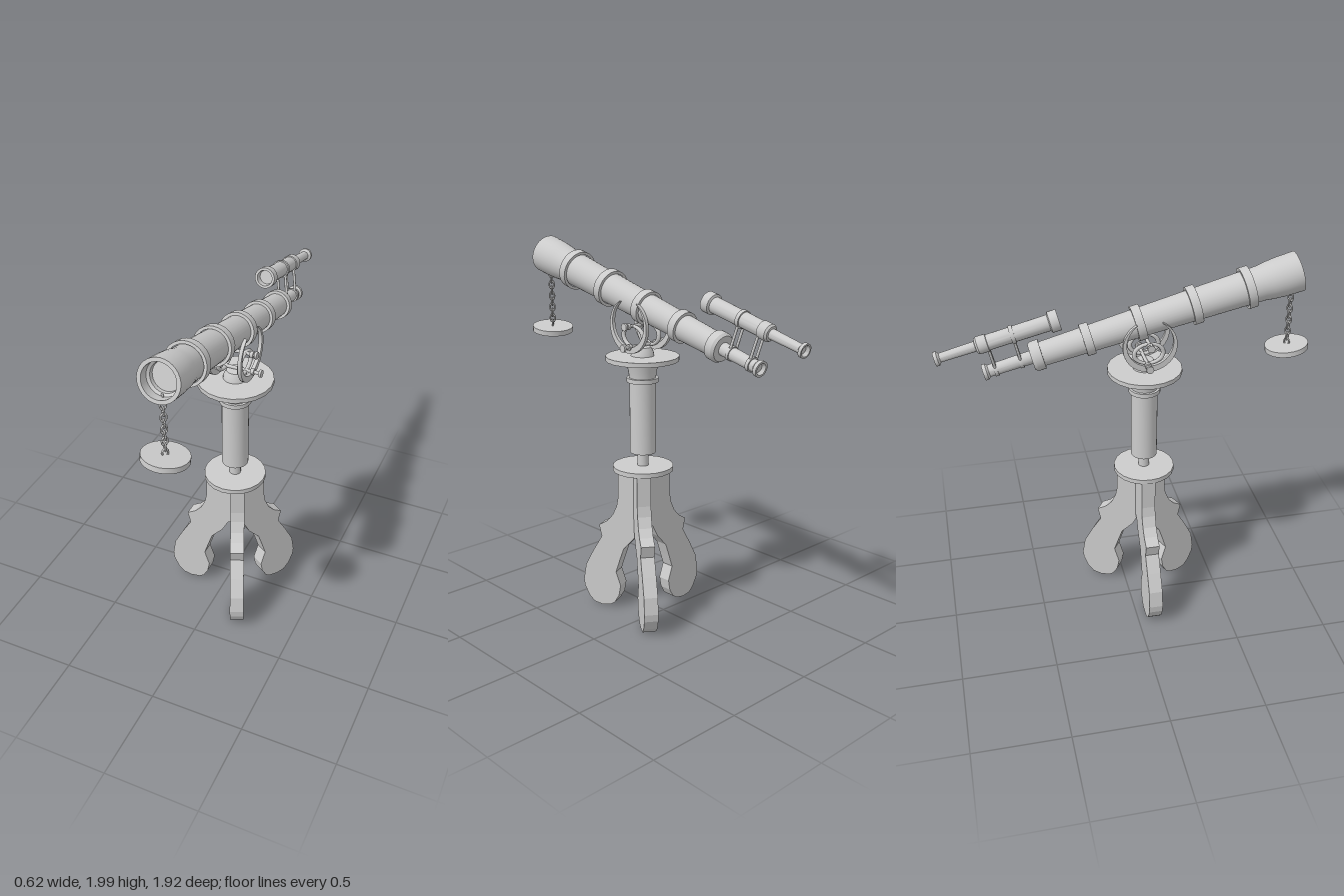
import * as THREE from 'three';
import { toCreasedNormals } from 'three/addons/utils/BufferGeometryUtils.js';

const CX = 0.062, CZ = 0.092, TILT = 0.243;
const deg = Math.PI / 180;

export function createModel() {
  const model = new THREE.Group();
  const mat = new THREE.MeshStandardMaterial({ color: 0xcccccc });

  const add = (name, geo, parent = model) => {
    const mesh = new THREE.Mesh(geo, mat);
    mesh.name = name;
    parent.add(mesh);
    return mesh;
  };
  // Turned part from [radius, height] pairs, with crisp edges
  const turned = (name, pts, parent = model, sides = 28) => add(name,
    toCreasedNormals(new THREE.LatheGeometry(pts.map(p => new THREE.Vector2(...p)), sides), 0.5), parent);
  // Straight round bar between two points
  const bar = (name, a, b, r, parent = model) => {
    const d = b.clone().sub(a);
    const m = add(name, new THREE.CylinderGeometry(r, r, d.length(), 10), parent);
    m.position.copy(a).add(b).multiplyScalar(0.5);
    m.quaternion.setFromUnitVectors(new THREE.Vector3(0, 1, 0), d.normalize());
    return m;
  };
  // Raised band on a tube
  const band = (s, r, w) => [[r - 0.015, s - w / 2], [r, s - w / 2], [r, s + w / 2], [r - 0.015, s + w / 2]];

  // Three flat sawn legs
  const legShape = new THREE.Shape([
    [0, 0.82], [0, 0.51], [0.03, 0.495], [0.063, 0.43], [0.126, 0.36], [0.15, 0.29], [0.174, 0.215],
    [0.147, 0.135], [0.158, 0.075], [0.184, 0.03], [0.21, 0.012], [0.263, 0.003], [0.31, 0.012],
    [0.343, 0.045], [0.37, 0.1], [0.375, 0.14], [0.36, 0.23], [0.311, 0.325], [0.258, 0.415],
    [0.274, 0.48], [0.225, 0.51], [0.19, 0.55], [0.165, 0.605], [0.155, 0.66], [0.153, 0.82],
  ].map(p => new THREE.Vector2(...p)));
  const legGeo = new THREE.ExtrudeGeometry(legShape, { depth: 0.074, bevelEnabled: false });
  legGeo.translate(0, 0, -0.037);
  for (const [name, angle, x, z] of [
    ['rightLeg', 180, 0.062, 0.085], ['backLeg', 57, 0.076, 0.107], ['frontLeg', -67, 0.064, 0.06],
  ]) {
    const leg = add(name, legGeo);
    leg.position.set(x, 0, z);
    leg.rotation.y = angle * deg;
  }

  // Pillar: base plate, spindle, column, collar, flare and table
  const pillar = new THREE.Group();
  pillar.name = 'pillar';
  pillar.position.set(CX, 0, CZ);
  model.add(pillar);
  turned('basePlate', [[0, 0.82], [0.162, 0.82], [0.162, 0.845], [0, 0.845]], pillar, 20);
  turned('spindle', [[0.03, 0.84], [0.03, 0.93]], pillar, 16);
  turned('column', [[0, 0.918], [0.069, 0.918], [0.069, 1.302], [0.083, 1.302], [0.083, 1.325],
    [0.07, 1.325], [0.075, 1.36], [0.09, 1.42]], pillar);
  turned('table', [[0, 1.416], [0.193, 1.416], [0.193, 1.44], [0, 1.44]], pillar, 20);
  turned('mountFoot', [[0.062, 1.438], [0.058, 1.46], [0.045, 1.485], [0, 1.49]], pillar, 20);

  // Mount: tapered crescents and rings on both sides, joined by two pins
  const mount = new THREE.Group();
  mount.name = 'mount';
  mount.position.set(CX, 1.6, 0.1);
  model.add(mount);
  const outer = [], inner = [];
  for (let i = 0; i <= 32; i++) {
    const t = i / 32, a = (118 + 304 * t) * deg, w = 0.004 + 0.028 * Math.sin(Math.PI * t);
    outer.push(new THREE.Vector2(Math.cos(a), Math.sin(a)).multiplyScalar(0.139));
    inner.unshift(new THREE.Vector2(Math.cos(a), Math.sin(a)).multiplyScalar(0.139 - w));
  }
  const crescentGeo = toCreasedNormals(new THREE.ExtrudeGeometry(
    new THREE.Shape([...outer, ...inner]), { depth: 0.018, bevelEnabled: false }), 0.5);
  crescentGeo.translate(0, 0, -0.009).rotateY(Math.PI / 2);
  const ringGeo = new THREE.TorusGeometry(0.068, 0.011, 8, 28);
  ringGeo.scale(1.1, 0.8, 1).rotateY(Math.PI / 2);
  for (const side of [-1, 1]) {
    add('crescent', crescentGeo, mount).position.x = side * 0.083;
    add('mountRing', ringGeo, mount).position.set(side * 0.055, -0.055, 0);
  }
  for (const [y, z, half] of [[0, 0, 0.12], [-0.105, -0.01, 0.14]]) {
    const end = x => new THREE.Vector3(x, y, z);
    bar('pin', end(-half), end(half), 0.009, mount);
    for (const s of [-1, 1]) {
      bar('pinHead', end(s * (half - 0.012)), end(s * half), 0.02, mount);
      bar('pinCollar', end(s * 0.083), end(s * 0.1), 0.017, mount);
    }
  }

  // Instruments: local +y runs from the objective back to the eyepiece
  const instrument = (name, x, y, z) => {
    const g = new THREE.Group();
    g.name = name;
    g.position.set(x, y, z);
    g.rotation.x = -(Math.PI / 2 + TILT);
    model.add(g);
    g.updateMatrix();
    return g;
  };
  const scope = instrument('telescope', CX, 1.897, 0.876);
  turned('mainTube', [[0, 0.08], [0.07, 0.08], [0.072, 0.06], [0.084, 0.05], [0.084, 0], [0.103, 0],
    [0.101, 0.09], [0.096, 0.155], [0.089, 0.2], [0.061, 1.37], [0, 1.38]], scope, 32);
  for (const [s, r] of [[0.27, 0.106], [0.553, 0.098], [0.842, 0.09], [1.109, 0.082]])
    turned('tubeBand', band(s, r, 0.044), scope, 32);
  turned('endBand', [[0.055, 1.345], [0.076, 1.345], [0.076, 1.385], [0.066, 1.4], [0, 1.4]], scope, 32);
  turned('eyepiece', [[0.034, 1.39], [0.031, 1.62], [0.041, 1.63], [0.041, 1.648], [0.03, 1.648],
    [0.022, 1.63], [0, 1.63]], scope, 20);

  const finder = instrument('finderScope', 0.03, 1.767, -0.344);
  turned('finderTube', [[0, 0.03], [0.036, 0.03], [0.04, 0], [0.053, 0], [0.053, 0.045], [0.041, 0.05],
    [0.039, 0.36], [0.044, 0.362], [0.044, 0.41], [0.036, 0.42], [0.026, 0.422], [0.023, 0.6],
    [0.036, 0.61], [0.036, 0.627], [0.028, 0.627], [0.02, 0.61], [0, 0.61]], finder, 24);
  turned('finderBand', band(0.235, 0.046, 0.02), finder, 24);

  // Posts carrying the finder on the eyepiece tube
  for (const [sf, sm] of [[0.235, 1.455], [0.365, 1.585]]) {
    const top = new THREE.Vector3(0, sf, 0).applyMatrix4(finder.matrix);
    const low = new THREE.Vector3(0, sm, 0).applyMatrix4(scope.matrix);
    for (const dx of [-0.022, 0.022]) {
      const shift = new THREE.Vector3(dx, 0, 0);
      bar('finderPost', top.clone().add(shift), low.clone().add(shift), 0.007);
    }
    turned('postClamp', band(sm, 0.038, 0.018), scope, 20);
  }

  // Hanging chain and lens cap
  const linkGeo = new THREE.TorusGeometry(0.014, 0.0045, 6, 12);
  linkGeo.scale(1, 1.5, 1);
  for (let i = 0; i < 10; i++) {
    const link = add('chainLink', linkGeo);
    link.position.set(CX, 1.79 - i * 0.0315, 0.848);
    link.rotation.y = (i % 2 ? 45 : -45) * deg;
  }
  const cap = turned('lensCap', [[0, 0], [0.098, 0], [0.1, -0.014], [0.113, -0.014], [0.113, 0.014], [0, 0.014]]);
  cap.position.set(CX, 1.482, 0.848);
  cap.rotation.set(-0.13, 0, -0.06);

  return model;
}
